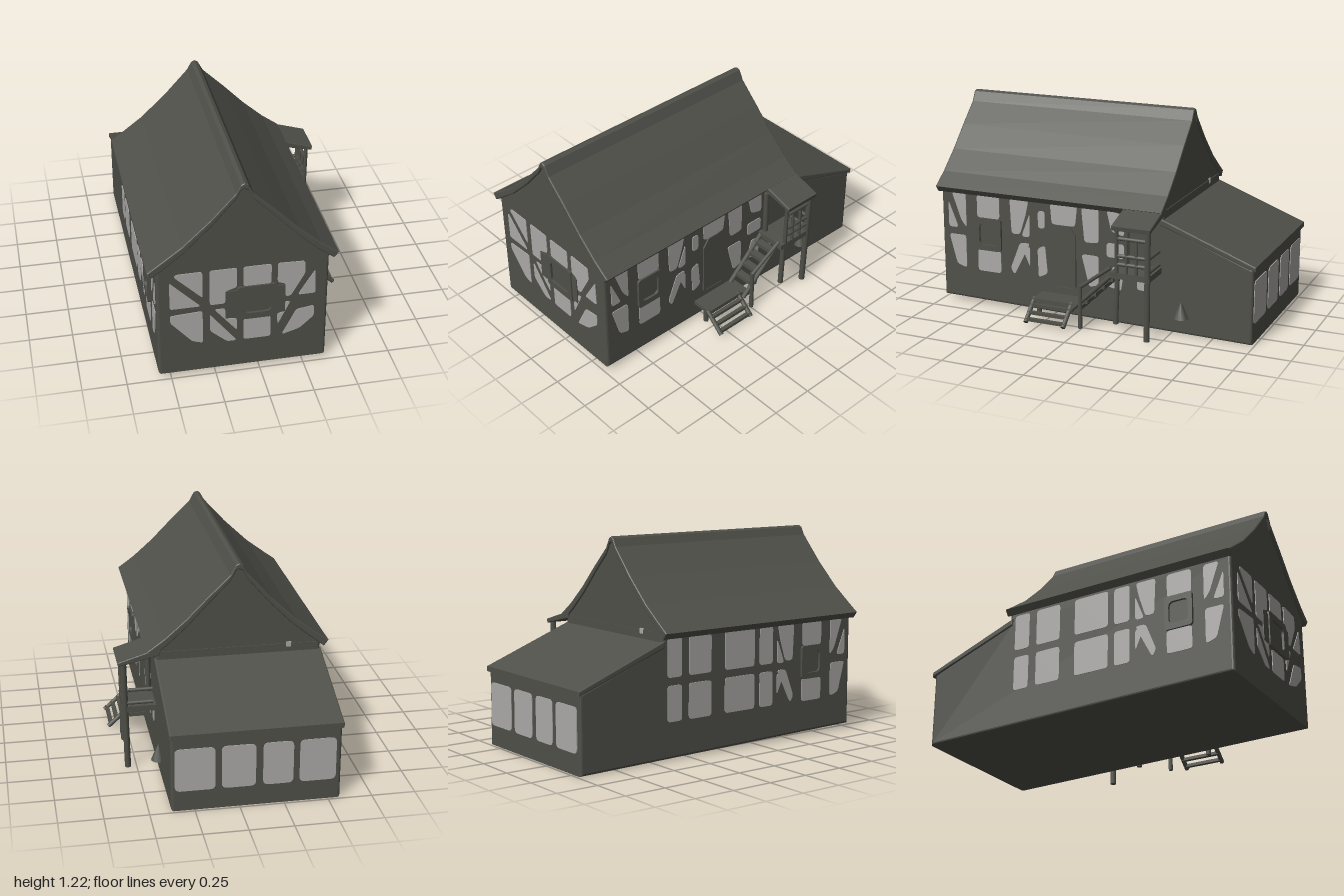
import * as THREE from 'three';

export function createModel() {
  const house = new THREE.Group();
  house.name = 'house';
  const timber = new THREE.MeshStandardMaterial({ color: 0x50504a });
  timber.name = 'dark timber';
  const plaster = new THREE.MeshStandardMaterial({ color: 0xacaaa8 });
  plaster.name = 'pale plaster';

  const add = (name, geo, mat = timber, parent = house) => {
    const m = new THREE.Mesh(geo, mat);
    m.name = name;
    parent.add(m);
    return m;
  };
  const group = (name) => {
    const g = new THREE.Group();
    g.name = name;
    house.add(g);
    return g;
  };

  // Closed outline with softened corners
  const outline = (pts, soft = 0, Kind = THREE.Shape) => {
    const v = pts.map(([x, y]) => new THREE.Vector2(x, y));
    if (!soft) return new Kind(v);
    const s = new Kind();
    v.forEach((p, i) => {
      const cut = (q) => p.clone().lerp(q, Math.min(0.4, soft / p.distanceTo(q)));
      const a = cut(v[(i + v.length - 1) % v.length]);
      const b = cut(v[(i + 1) % v.length]);
      if (i) s.lineTo(a.x, a.y); else s.moveTo(a.x, a.y);
      s.quadraticCurveTo(p.x, p.y, b.x, b.y);
    });
    s.closePath();
    return s;
  };
  const rect = (x0, x1, y0, y1) => [[x0, y0], [x1, y0], [x1, y1], [x0, y1]];

  // Extrusion between two z values, or between two x values for a (z, y) outline
  const slab = (shape, from, to, bevel = 0) => new THREE.ExtrudeGeometry(shape, {
    depth: to - from - 2 * bevel, bevelEnabled: bevel > 0, bevelSize: bevel,
    bevelThickness: bevel, bevelOffset: -bevel, bevelSegments: 3, curveSegments: 4,
  }).translate(0, 0, from + bevel);
  const slabX = (shape, from, to, bevel = 0) => slab(shape, -to, -from, bevel).rotateY(-Math.PI / 2);

  // Round bar between two points
  const bar = (name, a, b, r, parent) => {
    const p = new THREE.Vector3(...a), q = new THREE.Vector3(...b);
    const m = add(name, new THREE.CylinderGeometry(r, r, p.distanceTo(q), 8), timber, parent);
    m.position.copy(p).lerp(q, 0.5);
    m.quaternion.setFromUnitVectors(new THREE.Vector3(0, 1, 0), q.sub(p).normalize());
  };
  const block = (name, x0, x1, y0, y1, z0, z1, parent) =>
    add(name, new THREE.BoxGeometry(x1 - x0, y1 - y0, z1 - z0)
      .translate((x0 + x1) / 2, (y0 + y1) / 2, (z0 + z1) / 2), timber, parent);

  // Walls of the hall and the rear lean-to
  add('walls', slabX(outline([[0.985, 0.04], [-0.985, 0.01], [-0.985, 0.455], [-0.45, 0.66],
    [-0.45, 0.73], [0.985, 0.73]]), -0.57, 0.38, 0.015));
  add('leanToRoof', slabX(outline([[-0.43, 0.69], [-1, 0.475], [-1, 0.445], [-0.43, 0.65]]), -0.578, 0.388, 0.008));

  // Main roof with flared eaves, and the gables inside it
  const ridge = [[-0.62, 0.735], [-0.545, 0.79], [-0.43, 0.877], [-0.28, 1.02], [-0.14, 1.175],
    [-0.115, 1.222], [-0.095, 1.232], [-0.075, 1.222], [-0.045, 1.165], [0.08, 1.045], [0.205, 0.917],
    [0.33, 0.807], [0.43, 0.735]];
  const inner = ridge.map(([x, y]) => [-0.095 + (x + 0.095) * 0.95, y - 0.035]);
  add('mainRoof', slab(outline([...ridge, ...[...inner].reverse()]), -0.455, 1, 0.008));
  add('gables', slab(outline(ridge.map(([x, y]) => [-0.095 + (x + 0.095) * 0.96, y - 0.02])), -0.445, 0.985));

  // Front plaster panels between the timbers
  const front = [
    [[-0.5, 0.65], [-0.33, 0.475], [-0.5, 0.475]],
    [[-0.46, 0.7], [-0.32, 0.7], [-0.32, 0.53], [-0.475, 0.685]],
    [[-0.28, 0.7], [-0.13, 0.7], [-0.13, 0.575], [-0.195, 0.555], [-0.195, 0.475], [-0.28, 0.475]],
    rect(-0.095, 0.06, 0.575, 0.7),
    [[0.095, 0.7], [0.245, 0.695], [0.25, 0.62], [0.17, 0.475], [0.14, 0.475], [0.14, 0.56], [0.095, 0.575]],
    [[0.305, 0.63], [0.31, 0.475], [0.21, 0.475]],
    [[-0.5, 0.43], [-0.32, 0.44], [-0.32, 0.225], [-0.38, 0.245], [-0.5, 0.385]],
    [[-0.255, 0.44], [-0.195, 0.44], [-0.195, 0.37], [-0.13, 0.365], [-0.13, 0.285]],
    [[-0.28, 0.41], [-0.13, 0.215], [-0.185, 0.215], [-0.28, 0.3]],
    rect(-0.092, 0.06, 0.215, 0.352),
    [[0.095, 0.36], [0.14, 0.375], [0.14, 0.438], [0.17, 0.438], [0.1, 0.29]],
    [[0.205, 0.375], [0.305, 0.39], [0.305, 0.32], [0.225, 0.245], [0.125, 0.215]],
  ];
  front.forEach((p) => add('frontPanel', slab(outline(p, 0.015), 0.982, 0.989), plaster));

  // Side panels as (z, y) outlines; the front bay is shared by both sides
  const bay = [
    [[0.94, 0.64], [0.94, 0.48], [0.875, 0.48]],
    [[0.915, 0.7], [0.82, 0.7], [0.82, 0.485], [0.855, 0.53]],
    rect(0.595, 0.745, 0.56, 0.7),
    [[0.525, 0.7], [0.4, 0.7], [0.42, 0.61], [0.46, 0.485], [0.515, 0.485]],
    [[0.395, 0.62], [0.395, 0.475], [0.45, 0.475]],
    [[0.94, 0.435], [0.825, 0.435], [0.825, 0.23], [0.89, 0.25]],
    rect(0.59, 0.745, 0.225, 0.36),
    [[0.46, 0.435], [0.395, 0.435], [0.5, 0.23], [0.525, 0.27]],
    [[0.44, 0.39], [0.395, 0.42], [0.395, 0.29]],
  ];
  const rightSide = [
    rect(0.295, 0.34, 0.54, 0.645),
    [[0.26, 0.7], [0.085, 0.7], [0.1, 0.575], [0.25, 0.575]],
    [[0.06, 0.7], [-0.05, 0.7], [-0.05, 0.495], [0.04, 0.49]],
    [[0.345, 0.415], [0.295, 0.435], [0.28, 0.265], [0.34, 0.235]],
    [[0.17, 0.38], [0.105, 0.41], [0.105, 0.29], [0.18, 0.265]],
    [[0.06, 0.415], [-0.05, 0.415], [-0.05, 0.24], [0.01, 0.22]],
    [[-0.1, 0.7], [-0.21, 0.68], [-0.21, 0.555], [-0.13, 0.575]],
    rect(-0.21, -0.1, 0.42, 0.505),
    [[-0.14, 0.37], [-0.21, 0.345], [-0.19, 0.22], [-0.1, 0.245]],
    rect(-0.345, -0.29, 0.245, 0.37),
  ];
  const leftSide = [];
  [[-0.41, -0.31], [-0.26, -0.1], [0.0, 0.22], [0.26, 0.36]].forEach(([a, b]) =>
    leftSide.push(rect(a, b, 0.48, 0.7), rect(a, b, 0.23, 0.435)));
  [...bay, ...rightSide].forEach((p) => add('rightPanel', slabX(outline(p, 0.02), 0.377, 0.384), plaster));
  [...bay, ...leftSide].forEach((p) => add('leftPanel', slabX(outline(p, 0.02), -0.574, -0.567), plaster));

  // Row of pale windows at the back, and a small opening in the rear gable
  [[0.135, 0.36], [-0.09, 0.1], [-0.3, -0.13], [-0.54, -0.335]].forEach(([a, b]) =>
    add('backWindow', slab(outline(rect(a, b, 0.13, 0.385), 0.03), -0.989, -0.982), plaster));
  add('gableOpening', slab(outline(rect(-0.4, -0.37, 0.71, 0.74)), -0.452, -0.444), plaster);

  // Shuttered windows with a sunken middle
  const frame = (cx, cy, w, h) => {
    const s = outline(rect(cx - w, cx + w, cy - h, cy + h), 0.02);
    s.holes.push(outline(rect(cx - w * 0.7, cx + w * 0.7, cy - h * 0.65, cy + h * 0.65), 0.03, THREE.Path));
    return s;
  };
  add('frontWindowFrame', slab(frame(-0.018, 0.467, 0.112, 0.108), 0.98, 0.999));
  [[-0.195, -0.1], [0.065, 0.138]].forEach(([a, b]) =>
    add('frontShutter', slab(outline(rect(a, b, 0.375, 0.552)), 0.98, 0.992)));
  const sideWindow = frame(0.668, 0.46, 0.085, 0.1);
  add('rightWindowFrame', slabX(sideWindow, 0.375, 0.395));
  add('leftWindowFrame', slabX(sideWindow, -0.585, -0.565));

  // Arched side door surround
  const arch = (r, y0) => [[0.175 - r, y0], [0.175 + r, y0], [0.175 + r, 0.52], [0.175 + r * 0.5, 0.575],
    [0.175 - r * 0.5, 0.575], [0.175 - r, 0.52]];
  const door = outline(arch(0.08, 0.2));
  door.holes.push(new THREE.Path(arch(0.06, 0.21).map(([x, y]) => new THREE.Vector2(x, y - 0.015))));
  add('doorSurround', slabX(door, 0.375, 0.39));

  // Porch: canopy, posts, platform and railing
  const porch = group('porch');
  add('canopy', slab(outline([[0.34, 0.785], [0.42, 0.735], [0.6, 0.68], [0.595, 0.655], [0.36, 0.71]]),
    -0.455, -0.22, 0.006), timber, porch);
  bar('tallPost', [0.55, 0.01, -0.42], [0.565, 0.67, -0.43], 0.018, porch);
  bar('frontPost', [0.55, 0.09, -0.23], [0.55, 0.38, -0.24], 0.016, porch);
  bar('upperPost', [0.56, 0.38, -0.24], [0.565, 0.67, -0.24], 0.012, porch);
  bar('wallPost', [0.4, 0.38, -0.235], [0.4, 0.68, -0.235], 0.016, porch);
  block('platform', 0.37, 0.57, 0.365, 0.4, -0.44, -0.2, porch);
  [0.45, 0.5, 0.6].forEach((y) => bar('railing', [0.56, y, -0.43], [0.56, y, -0.24], 0.011, porch));
  [0.42, 0.5].forEach((y) => bar('endRailing', [0.4, y, -0.43], [0.56, y, -0.43], 0.011, porch));
  [-0.3, -0.36].forEach((z) => bar('baluster', [0.56, 0.39, z], [0.56, 0.6, z], 0.01, porch));

  // Upper stair along the wall
  const stair = group('stair');
  for (const x of [0.39, 0.525]) bar('stringer', [x, 0.38, -0.21], [x, 0.12, 0.06], 0.014, stair);
  for (let i = 0; i < 5; i++) {
    const y = 0.34 - i * 0.052, z = -0.185 + i * 0.053;
    block('tread', 0.38, 0.53, y - 0.012, y + 0.012, z - 0.02, z + 0.025, stair);
  }
  bar('newelPost', [0.535, 0.02, 0], [0.535, 0.28, 0], 0.013, stair);
  bar('handrail', [0.535, 0.27, 0], [0.55, 0.42, -0.2], 0.011, stair);

  // Landing and lower flight turning outwards
  block('landing', 0.37, 0.51, 0.125, 0.15, 0.05, 0.32, stair);
  bar('landingLeg', [0.46, 0.04, 0.3], [0.46, 0.14, 0.3], 0.015, stair);
  for (const z of [0.075, 0.315]) bar('lowerStringer', [0.49, 0.145, z], [0.61, 0.035, z], 0.014, stair);
  [[0.525, 0.115], [0.56, 0.08], [0.595, 0.05]].forEach(([x, y]) =>
    block('lowerTread', x - 0.012, x + 0.012, y - 0.009, y + 0.009, 0.07, 0.32, stair));

  // Small stone lump on the lean-to wall
  const lump = add('wallLump', new THREE.ConeGeometry(0.045, 0.1, 10));
  lump.position.set(0.388, 0.165, -0.565);

  return house;
}
